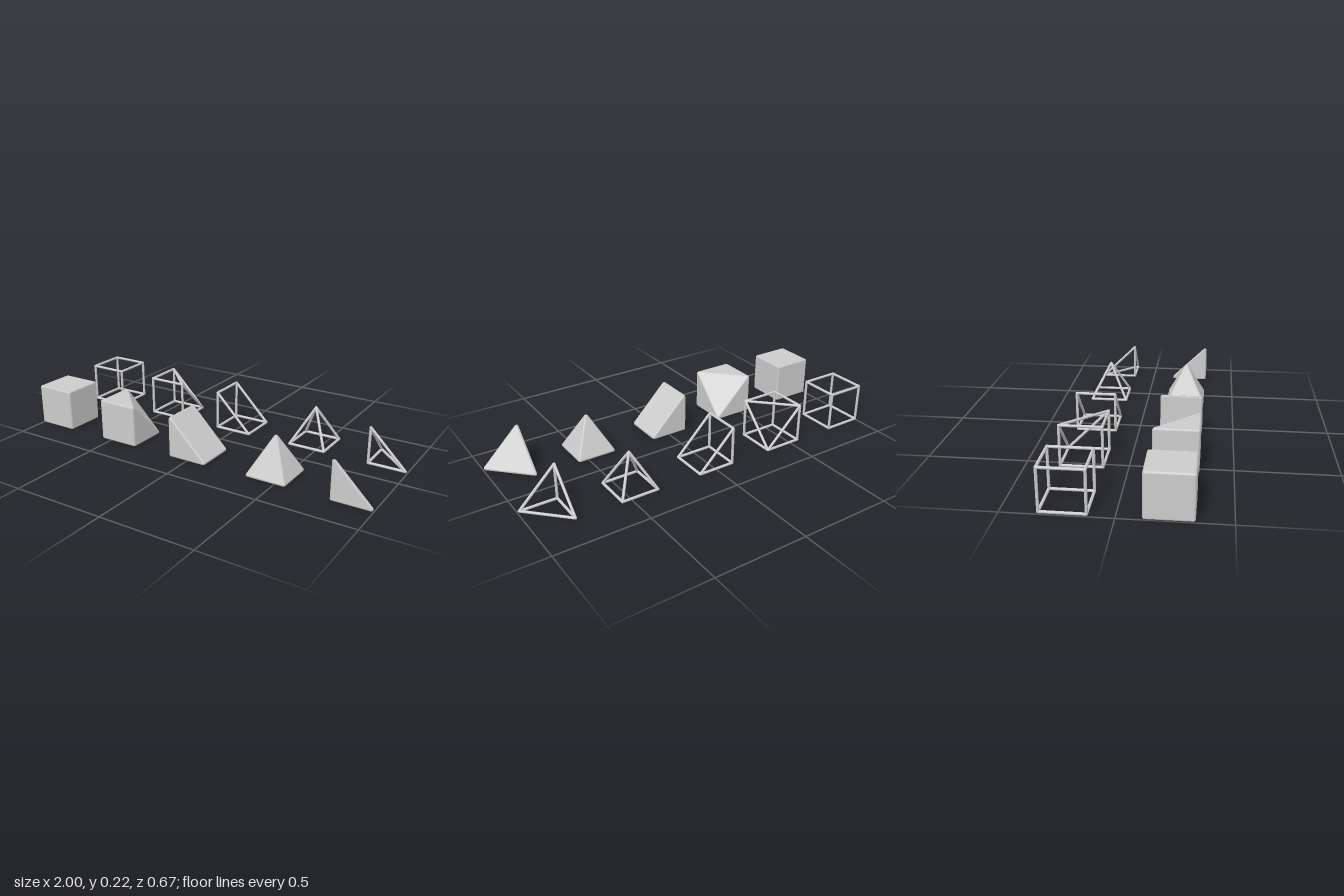
import * as THREE from 'three';
import { ConvexGeometry } from 'three/addons/geometries/ConvexGeometry.js';

const V = (x, y, z) => new THREE.Vector3(x, y, z);
const ROUND = 0.01; // edge rounding of the solids
const BAR = 0.0072; // radius of the frame bars
const ROW_Z = 0.225; // distance of each row from the centre

// Corners are in a unit box (x, y, z from 0 to 1); size is the box it is stretched to.
const square = [[0, 0, 0], [1, 0, 0], [1, 0, 1], [0, 0, 1]];
const top = [[0, 1, 0], [1, 1, 0], [1, 1, 1], [0, 1, 1]];
const SHAPES = [
  {
    name: 'cube', min: [-1, 0, -0.112], max: [-0.776, 0.224, 0.112],
    corners: [...square, ...top],
    faces: [[0, 1, 2, 3], [4, 5, 6, 7], [0, 1, 5, 4], [1, 2, 6, 5], [2, 3, 7, 6], [3, 0, 4, 7]],
  },
  {
    name: 'cutCornerCube', min: [-0.555, 0, -0.112], max: [-0.331, 0.224, 0.112],
    corners: [...square, top[0], top[2], top[3]],
    faces: [[0, 1, 2, 3], [4, 5, 6], [0, 1, 4], [1, 2, 5], [2, 3, 6, 5], [3, 0, 4, 6], [1, 4, 5]],
  },
  {
    name: 'wedge', min: [-0.108, 0, -0.11], max: [0.11, 0.22, 0.11],
    corners: [...square, top[0], top[3]],
    faces: [[0, 1, 2, 3], [0, 1, 4], [2, 3, 5], [3, 0, 4, 5], [1, 2, 5, 4]],
  },
  {
    name: 'pyramid', min: [0.345, 0.002, -0.108], max: [0.561, 0.213, 0.108],
    corners: [...square, [0.5, 1, 0.5]],
    faces: [[0, 1, 2, 3], [0, 1, 4], [1, 2, 4], [2, 3, 4], [3, 0, 4]],
  },
  {
    name: 'cornerTetrahedron', min: [0.789, 0.002, -0.102], max: [1, 0.211, 0.11],
    corners: [square[0], square[2], square[3], top[3]],
    faces: [[0, 1, 2], [0, 2, 3], [1, 2, 3], [0, 1, 3]],
  },
];

// Corner points, pulled in by the rounding radius
function cornerPoints(shape, inset) {
  const at = (c, i) => THREE.MathUtils.lerp(shape.min[i] + inset, shape.max[i] - inset, c[i]);
  return shape.corners.map((c) => V(at(c, 0), at(c, 1), at(c, 2)));
}

// Unique edges, each with the faces that meet there
function listEdges(shape) {
  const edges = new Map();
  shape.faces.forEach((face, f) => face.forEach((a, i) => {
    const b = face[(i + 1) % face.length];
    const key = `${Math.min(a, b)}-${Math.max(a, b)}`;
    if (!edges.has(key)) edges.set(key, { a, b, faces: [] });
    edges.get(key).faces.push(f);
  }));
  return [...edges.values()];
}

// Convex body with rounded edges and corners
function roundedSolid(shape) {
  const pts = cornerPoints(shape, ROUND);
  const middle = pts.reduce((s, p) => s.add(p), V(0, 0, 0)).divideScalar(pts.length);
  const normals = shape.faces.map(([a, b, c]) => {
    const n = pts[b].clone().sub(pts[a]).cross(pts[c].clone().sub(pts[a])).normalize();
    return n.dot(pts[a].clone().sub(middle)) < 0 ? n.negate() : n;
  });
  const edges = listEdges(shape);
  const cloud = [];
  pts.forEach((p, i) => {
    const touching = normals.filter((n, f) => shape.faces[f].includes(i));
    const dirs = touching.map((n) => n.clone());
    for (const e of edges) {
      if (e.a === i || e.b === i) dirs.push(normals[e.faces[0]].clone().add(normals[e.faces[1]]));
    }
    dirs.push(touching.reduce((s, n) => s.add(n), V(0, 0, 0)));
    for (const d of dirs) cloud.push(p.clone().addScaledVector(d.normalize(), ROUND));
  });
  const geo = new ConvexGeometry(cloud);

  // Smooth normals point away from the nearest corner centre
  const pos = geo.attributes.position;
  const p = V(0, 0, 0);
  for (let i = 0; i < pos.count; i++) {
    p.fromBufferAttribute(pos, i);
    const near = pts.reduce((m, q) => (q.distanceTo(p) < m.distanceTo(p) ? q : m));
    p.sub(near).normalize();
    geo.attributes.normal.setXYZ(i, p.x, p.y, p.z);
  }
  return geo;
}

// Open frame: a round bar along each edge, a ball at each corner
function barFrame(shape, material) {
  const frame = new THREE.Group();
  const pts = cornerPoints(shape, BAR + 0.001);
  const ball = new THREE.SphereGeometry(BAR, 12, 8);
  for (const p of pts) {
    const joint = new THREE.Mesh(ball, material);
    joint.name = 'joint';
    joint.position.copy(p);
    frame.add(joint);
  }
  for (const { a, b } of listEdges(shape)) {
    const dir = pts[b].clone().sub(pts[a]);
    const bar = new THREE.Mesh(new THREE.CylinderGeometry(BAR, BAR, dir.length(), 12, 1, true), material);
    bar.name = 'bar';
    bar.position.copy(pts[a]).add(pts[b]).multiplyScalar(0.5);
    bar.quaternion.setFromUnitVectors(V(0, 1, 0), dir.normalize());
    frame.add(bar);
  }
  return frame;
}

export function createModel() {
  const model = new THREE.Group();
  model.name = 'blockSet';
  const material = new THREE.MeshStandardMaterial({ color: 0xcccccc });
  for (const shape of SHAPES) {
    // Solids in the front row, frames in the back row
    const solid = new THREE.Mesh(roundedSolid(shape), material);
    solid.name = `${shape.name}Solid`;
    solid.position.z = ROW_Z;
    const frame = barFrame(shape, material);
    frame.name = `${shape.name}Frame`;
    frame.position.z = -ROW_Z;
    model.add(solid, frame);
  }
  return model;
}
